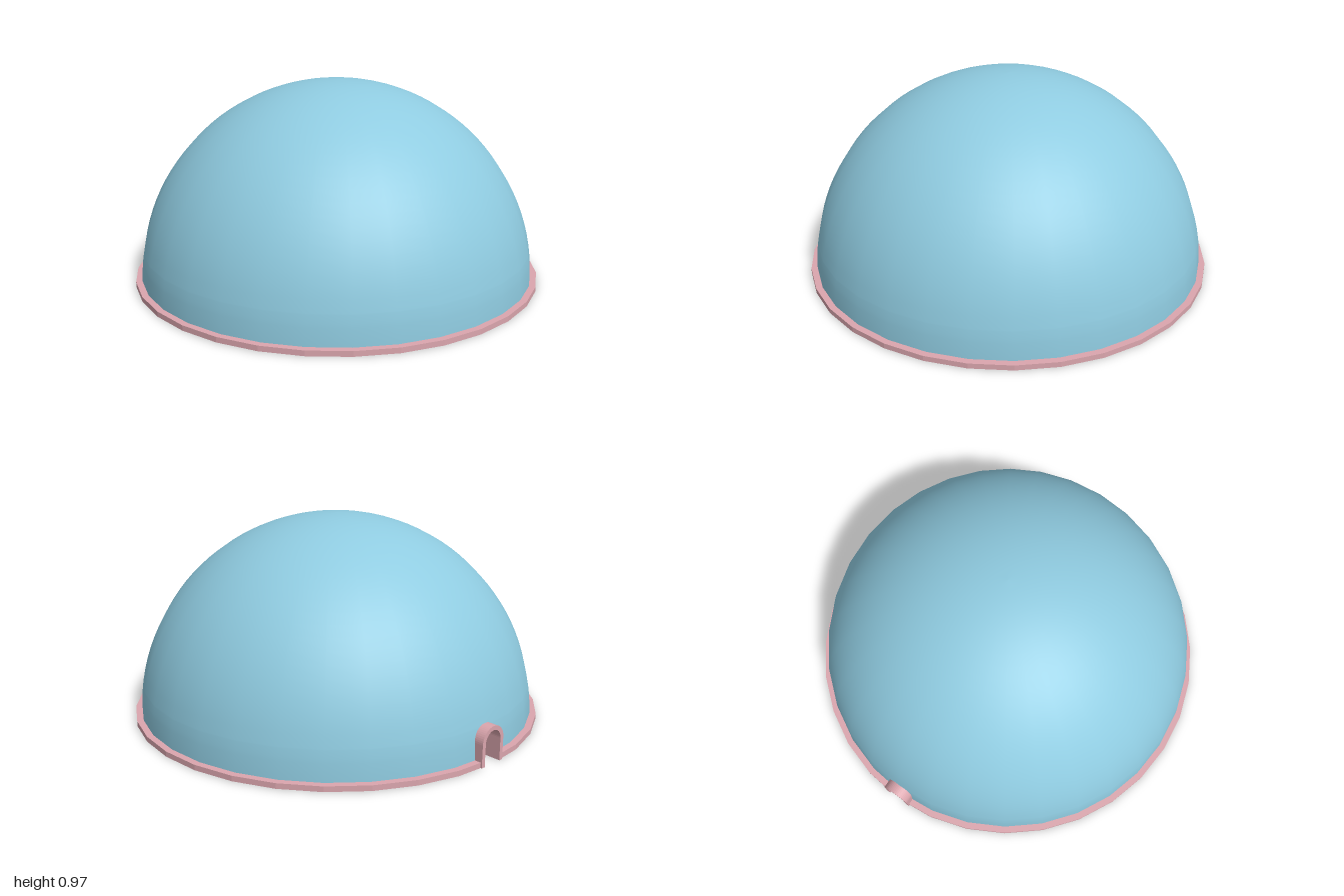
import * as THREE from 'three';

const OUTER = 0.97, INNER = 0.935, SIDES = 32;
const SPRING = 0.105; // height where the doorway arch starts to curve

// Half width of the doorway cut at a given height
function cutWidth(y) {
  if (y <= SPRING) return 0.06;
  return Math.sqrt(Math.max(0, 0.06 ** 2 - (y - SPRING) ** 2));
}

// Lathe whose seam at the back is opened up to form the doorway
function notchedLathe(profile) {
  const geo = new THREE.LatheGeometry(profile, SIDES, Math.PI, Math.PI * 2);
  const pos = geo.attributes.position;
  const n = profile.length;
  const a = new THREE.Vector3(), b = new THREE.Vector3();
  for (const [edge, next] of [[0, 1], [SIDES, SIDES - 1]]) {
    for (let j = 0; j < n; j++) {
      const w = cutWidth(profile[j].y);
      b.fromBufferAttribute(pos, next * n + j);
      if (w < 1e-6 || Math.abs(b.x) < w) continue;
      a.fromBufferAttribute(pos, edge * n + j).lerp(b, w / Math.abs(b.x));
      pos.setXYZ(edge * n + j, a.x, a.y, a.z);
    }
  }
  return geo;
}

// Quarter-circle profile with extra rows around the doorway
function domeProfile(r) {
  const pts = [0, 0.05, SPRING, 0.125, 0.14, 0.152, 0.16, 0.165]
    .map((y) => new THREE.Vector2(Math.sqrt(r * r - y * y), y));
  const start = Math.asin(0.165 / r);
  for (let i = 1; i <= 24; i++) {
    const t = start + (Math.PI / 2 - start) * i / 24;
    pts.push(new THREE.Vector2(i === 24 ? 0 : r * Math.cos(t), r * Math.sin(t)));
  }
  return pts;
}

export function createModel() {
  const model = new THREE.Group();
  const blue = new THREE.MeshStandardMaterial({ color: 0x8fcbe0 });
  const pink = new THREE.MeshStandardMaterial({ color: 0xdba6ae });
  const pinkFlat = new THREE.MeshStandardMaterial({ color: 0xdba6ae, flatShading: true });

  const add = (parent, name, geo, mat) => {
    const mesh = new THREE.Mesh(geo, mat);
    mesh.name = name;
    parent.add(mesh);
  };
  const V = (x, y) => new THREE.Vector2(x, y);

  // Hollow dome
  const dome = new THREE.Group();
  dome.name = 'dome';
  add(dome, 'domeOuterWall', notchedLathe(domeProfile(OUTER)), blue);
  add(dome, 'domeInnerWall', notchedLathe(domeProfile(INNER).reverse()), blue);
  add(dome, 'domeBase', notchedLathe([V(INNER, 0), V(OUTER, 0)]), blue);
  model.add(dome);

  // Faceted rim around the foot of the dome
  const rim = notchedLathe([V(0.965, 0), V(1, 0), V(1, 0.025), V(0.955, 0.025)]);
  add(model, 'rim', rim, pinkFlat);

  // Doorway frame: two straight legs under a round arch
  const frame = new THREE.Shape();
  frame.moveTo(0.07, 0);
  frame.lineTo(0.07, SPRING);
  frame.absarc(0, SPRING, 0.07, 0, Math.PI, false);
  frame.lineTo(-0.07, 0);
  frame.lineTo(-0.05, 0);
  frame.lineTo(-0.05, SPRING);
  frame.absarc(0, SPRING, 0.05, Math.PI, 0, true);
  frame.lineTo(0.05, 0);
  frame.closePath();
  const arch = new THREE.ExtrudeGeometry(frame, { depth: 0.08, bevelEnabled: false, curveSegments: 12 });
  arch.translate(0, 0, -1);
  add(model, 'doorwayArch', arch, pink);

  return model;
}
